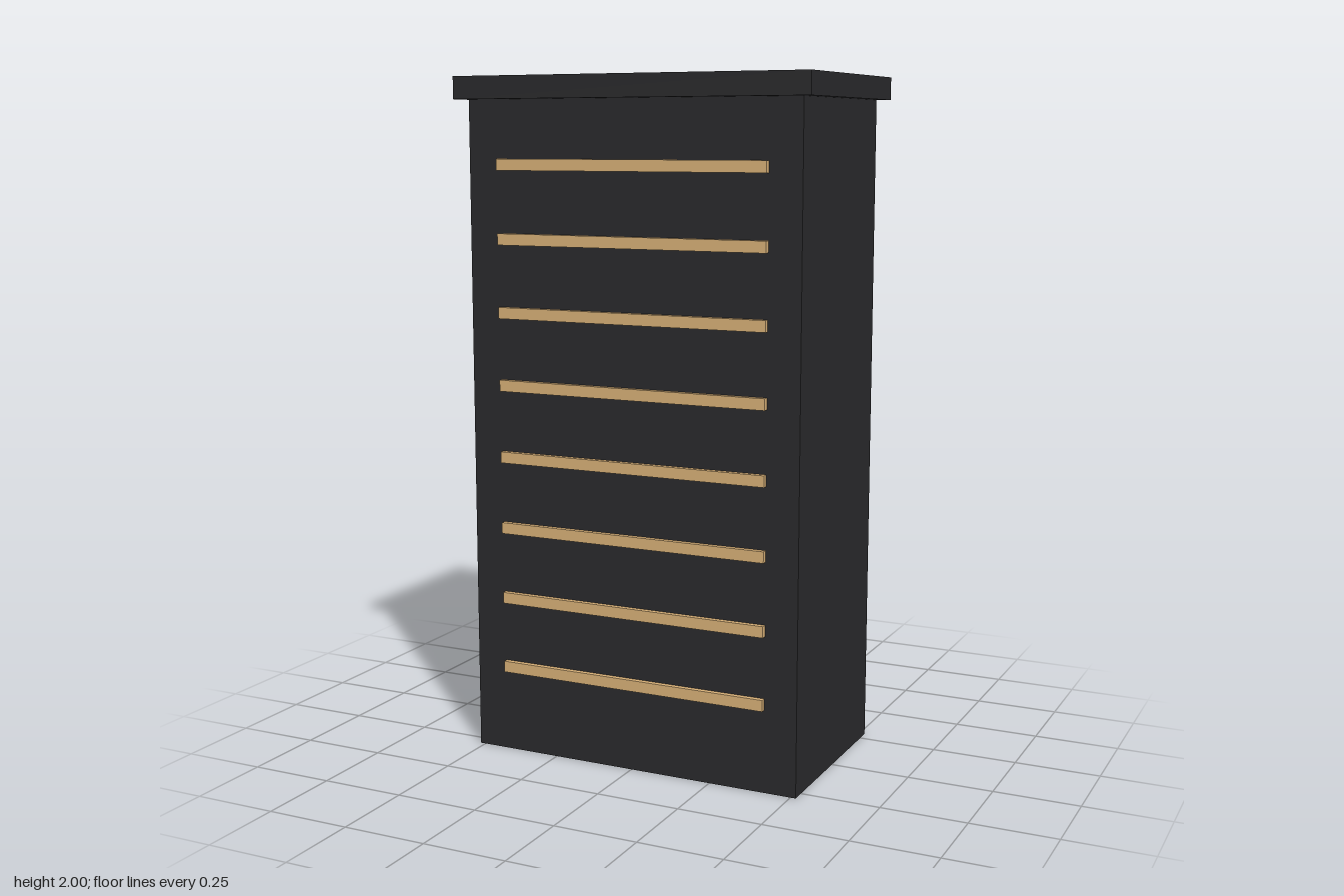
import * as THREE from 'three';

export function createModel() {
  const model = new THREE.Group();
  const dark = new THREE.MeshStandardMaterial({ color: 0x2b2b2d });
  const wood = new THREE.MeshStandardMaterial({ color: 0xdcb47a });

  function addBox(name, [w, h, d], y, z, material) {
    const mesh = new THREE.Mesh(new THREE.BoxGeometry(w, h, d), material);
    mesh.name = name;
    mesh.position.set(0, y, z);
    model.add(mesh);
  }

  // Cabinet body with an overhanging top slab
  const bodyHeight = 1.935, bodyDepth = 0.581;
  addBox('body', [1.032, bodyHeight, bodyDepth], bodyHeight / 2, 0, dark);
  addBox('topSlab', [1.097, 2 - bodyHeight, 0.645], (2 + bodyHeight) / 2, 0, dark);

  // Light slats, half sunk into the front face
  for (let i = 0; i < 8; i++) {
    addBox(`slat${i + 1}`, [0.837, 0.033, 0.032], 0.26 + i * 0.2129, bodyDepth / 2, wood);
  }
  return model;
}
